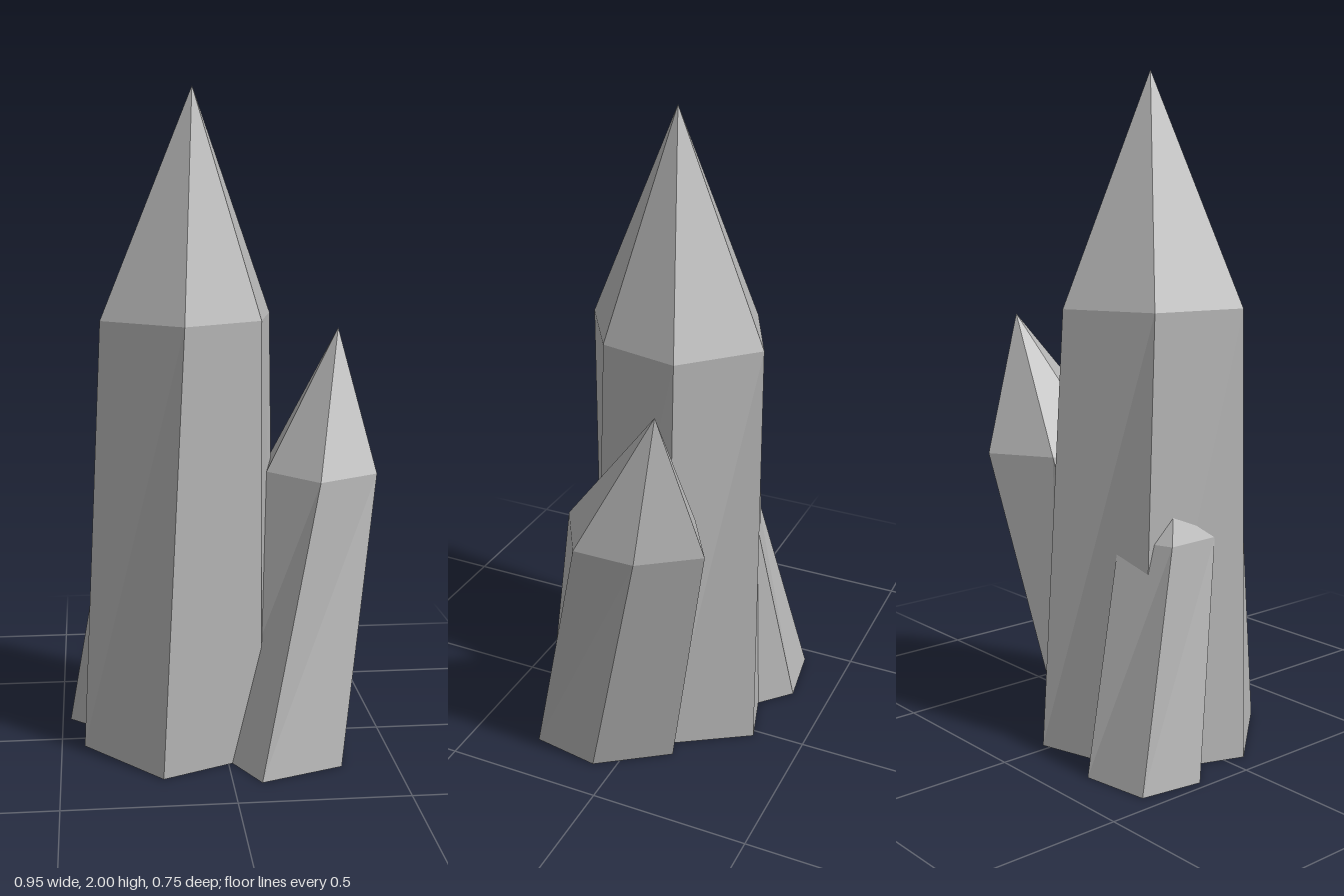
import * as THREE from 'three';

// Six-sided crystal: base ring on the ground, shoulder ring, pointed tip.
// Rings are lists of [x, z], running from +x towards +z.
function crystal(name, base, shoulder, shoulderY, tip, material) {
  const b = base.map(([x, z]) => [x, 0, z]);
  const s = shoulder.map(([x, z]) => [x, shoulderY, z]);
  const pos = [];
  const tri = (...corners) => corners.forEach((c) => pos.push(...c));
  for (let i = 0; i < b.length; i++) {
    const j = (i + 1) % b.length;
    tri(b[i], s[i], b[j]); // shaft
    tri(s[i], s[j], b[j]);
    tri(s[i], tip, s[j]); // point
    if (i > 0 && j > 0) tri(b[0], b[i], b[j]); // underside
  }
  const geometry = new THREE.BufferGeometry();
  geometry.setAttribute('position', new THREE.Float32BufferAttribute(pos, 3));
  geometry.computeVertexNormals(); // unshared corners give flat facets
  const mesh = new THREE.Mesh(geometry, material);
  mesh.name = name;
  return mesh;
}

export function createModel() {
  const group = new THREE.Group();
  group.name = 'crystalCluster';
  const stone = new THREE.MeshStandardMaterial({ color: 0xb4b4b4 });
  stone.name = 'grey crystal';
  stone.flatShading = true;

  // Tall central crystal
  group.add(crystal('mainCrystal',
    [[0.18, -0.1], [0.105, 0.19], [-0.2, 0.325], [-0.43, 0.06], [-0.32, -0.24], [0.025, -0.34]],
    [[0.16, -0.11], [0.105, 0.14], [-0.13, 0.29], [-0.365, 0.1], [-0.305, -0.185], [-0.045, -0.305]],
    1.325, [-0.085, 2, -0.01], stone));

  // Medium crystal leaning out and back
  group.add(crystal('sideCrystal',
    [[0.335, 0.285], [0.085, 0.375], [-0.03, 0.15], [0, -0.05], [0.22, -0.14], [0.37, 0.07]],
    [[0.472, 0.06], [0.28, 0.175], [0.14, 0], [0.165, -0.185], [0.35, -0.295], [0.472, -0.13]],
    0.845, [0.385, 1.27, -0.157], stone));

  // Short crystal leaning into the central one
  group.add(crystal('backCrystal',
    [[-0.095, -0.03], [-0.3, 0], [-0.475, -0.16], [-0.445, -0.35], [-0.24, -0.38], [-0.065, -0.22]],
    [[-0.035, 0.045], [-0.197, 0.105], [-0.365, -0.005], [-0.37, -0.175], [-0.207, -0.235], [-0.04, -0.125]],
    0.67, [-0.17, 1, 0.02], stone));

  return group;
}
